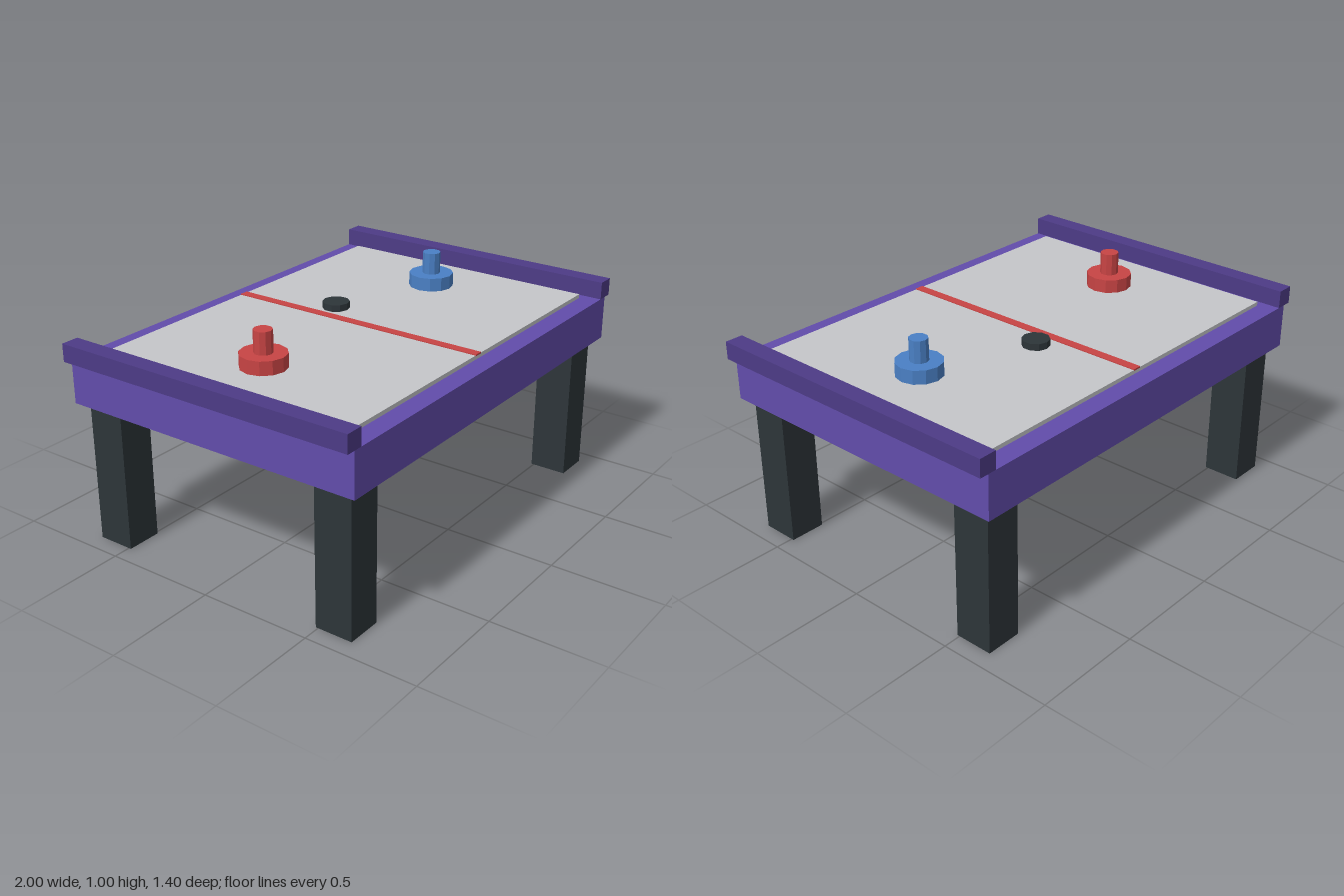
import * as THREE from 'three';

const mat = (name, color) => {
  const m = new THREE.MeshStandardMaterial({ color });
  m.name = name;
  return m;
};

export function createModel() {
  const purple = mat('purple', 0x624cab);
  const darkPurple = mat('dark purple', 0x4d3b86);
  const charcoal = mat('charcoal', 0x2d3539);
  const grey = mat('light grey', 0xc5c6ca);
  const red = mat('red', 0xc84444);
  const blue = mat('blue', 0x4a80c5);

  const table = new THREE.Group();
  table.name = 'airHockeyTable';

  // Box spanning y0 to y1, centred on (x, z)
  const box = (name, material, w, d, y0, y1, x = 0, z = 0) => {
    const mesh = new THREE.Mesh(new THREE.BoxGeometry(w, y1 - y0, d), material);
    mesh.name = name;
    mesh.position.set(x, (y0 + y1) / 2, z);
    table.add(mesh);
  };

  // Faceted disc spanning y0 to y1
  const disc = (name, material, r, sides, y0, y1) => {
    const geometry = new THREE.CylinderGeometry(r, r, y1 - y0, sides).toNonIndexed();
    geometry.computeVertexNormals();
    const mesh = new THREE.Mesh(geometry, material);
    mesh.name = name;
    mesh.position.y = (y0 + y1) / 2;
    return mesh;
  };

  // Table body, playing surface and centre line
  box('tableBody', purple, 1.92, 1.4, 0.63, 0.825);
  box('playingSurface', grey, 1.76, 1.226, 0.825, 0.843);
  box('centreLine', red, 0.04, 1.228, 0.84, 0.847);

  // End rails and legs
  for (const sx of [-1, 1]) {
    box(sx > 0 ? 'leftRail' : 'rightRail', darkPurple, 0.08, 1.4, 0.825, 0.903, sx * 0.96);
    for (const sz of [-1, 1]) {
      box((sz > 0 ? 'front' : 'back') + (sx > 0 ? 'Left' : 'Right') + 'Leg',
        charcoal, 0.16, 0.168, 0, 0.63, sx * 0.84, sz * 0.573);
    }
  }

  // Mallets: a wide base with a knob on top
  for (const [name, material, x] of [['redMallet', red, -0.6], ['blueMallet', blue, 0.6]]) {
    const mallet = new THREE.Group();
    mallet.name = name;
    mallet.add(disc('malletBase', material, 0.1, 12, 0.843, 0.903));
    mallet.add(disc('malletKnob', material, 0.04, 10, 0.903, 1.0));
    mallet.position.x = x;
    table.add(mallet);
  }

  // Puck
  const puck = disc('puck', charcoal, 0.06, 10, 0.843, 0.873);
  puck.position.x = 0.1;
  puck.position.z = -0.17;
  table.add(puck);

  return table;
}
